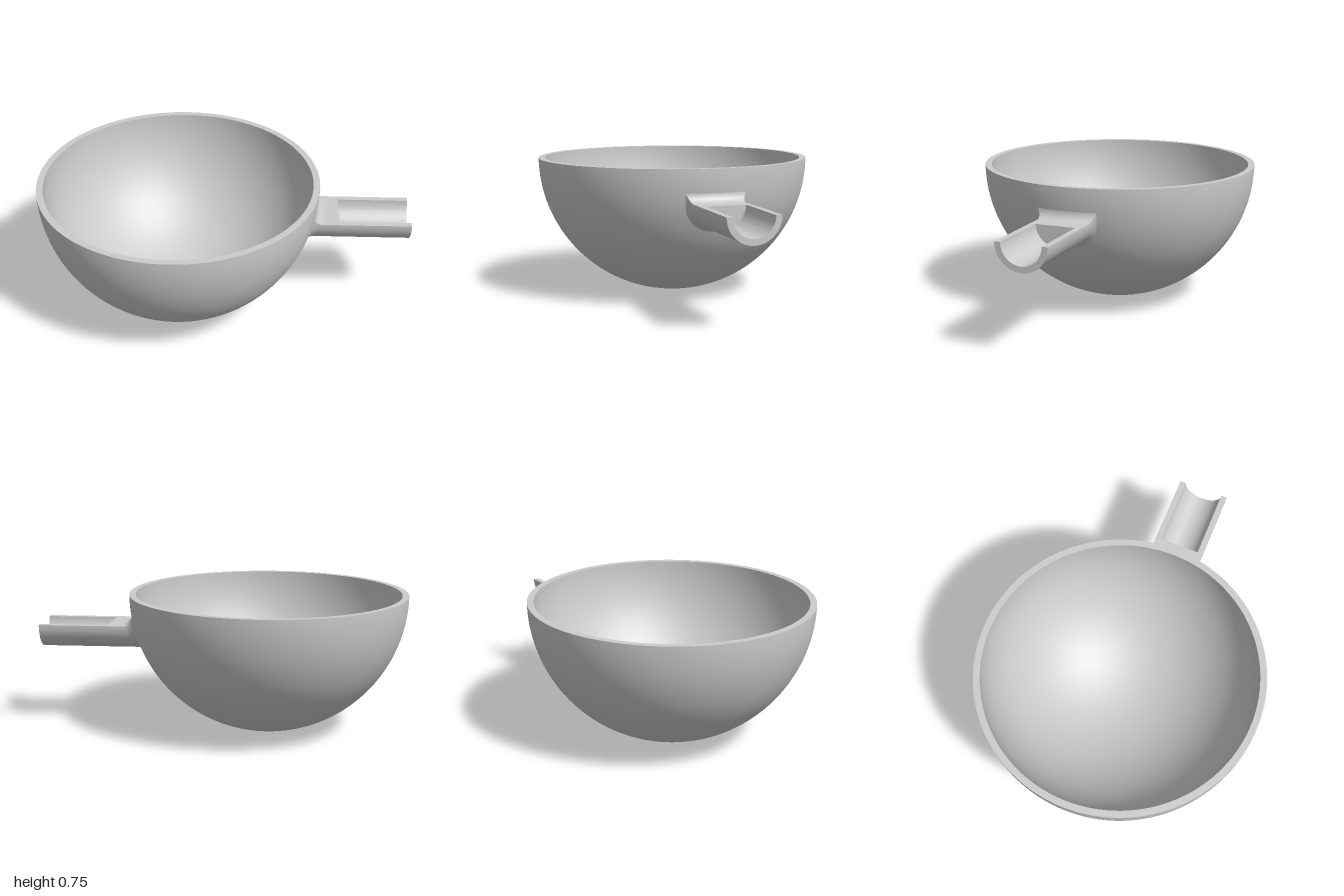
import * as THREE from 'three';
import { toCreasedNormals } from 'three/addons/utils/BufferGeometryUtils.js';
import { ParametricGeometry } from 'three/addons/geometries/ParametricGeometry.js';

const CX = -0.245, R = 0.755, R_IN = 0.72;           // bowl centre, outer and inner radius
const HY = 0.58, HR = 0.14, HR_IN = 0.108;           // handle axis height and radii
const TROUGH = 0.62, END = 1;                        // start and end of the open trough

// x of the bowl's outer surface at a given height and depth
const bowlX = (y, z) => CX + Math.sqrt(R * R - (y - R) ** 2 - z * z);

// Surface running from the bowl through a fillet to the trough.
// edge(u) gives a profile point, its outward flare and the fillet length.
function collar(edge, slices) {
  return new ParametricGeometry((u, v, target) => {
    const { z, y, dz, dy, len } = edge(u);
    const t = Math.min(v / 0.9, 1) * Math.PI / 2;
    const flare = 1 - Math.sin(t);
    const py = y + dy * flare, pz = z + dz * flare;
    let x = bowlX(py, pz) - 0.002 + len * (1 - Math.cos(t));
    if (v > 0.9) x += (TROUGH - x) * (v - 0.9) / 0.1;
    target.set(x, py, pz);
  }, slices, 20);
}

export function createModel() {
  const model = new THREE.Group();
  const grey = new THREE.MeshStandardMaterial({ color: 0xcccccc });
  const add = (parent, name, geometry) => {
    const mesh = new THREE.Mesh(geometry, grey);
    mesh.name = name;
    parent.add(mesh);
    return mesh;
  };

  // Hemispherical bowl: outer wall up, flat rim, inner wall down
  const profile = [];
  const steps = 48;
  for (let i = 0; i <= steps; i++) {
    const a = (i / steps) * Math.PI / 2;
    profile.push(new THREE.Vector2(R * Math.sin(a), R - R * Math.cos(a)));
  }
  for (let i = steps; i >= 0; i--) {
    const a = (i / steps) * Math.PI / 2;
    profile.push(new THREE.Vector2(R_IN * Math.sin(a), R - R_IN * Math.cos(a)));
  }
  const bowl = add(model, 'bowl', toCreasedNormals(new THREE.LatheGeometry(profile, 128), 0.6));
  bowl.position.x = CX;

  const handle = new THREE.Group();
  handle.name = 'handle';
  model.add(handle);

  // Rounded underside of the handle root, flaring into the bowl
  add(handle, 'handleRootUnderside', collar((u) => {
    const c = Math.cos(Math.PI * u), s = Math.sin(Math.PI * u);
    return {
      z: HR * c, y: HY - HR * s,
      dz: 0.03 * c, dy: -0.03 * s + 0.065 * (1 - s) ** 6,
      len: 0.06 - 0.03 * s,
    };
  }, 64));

  // Flat top of the handle root, curving up into the bowl
  add(handle, 'handleRootTop', collar((u) => {
    const k = 2 * u - 1;
    return { z: HR * k, y: HY, dz: 0.03 * k, dy: 0.065, len: 0.06 };
  }, 24));

  // Open half-pipe trough
  const section = new THREE.Shape();
  section.absarc(0, 0, HR, Math.PI, 2 * Math.PI, false);
  section.lineTo(HR_IN, 0);
  section.absarc(0, 0, HR_IN, 2 * Math.PI, Math.PI, true);
  section.closePath();
  const pipe = new THREE.ExtrudeGeometry(section, {
    depth: END - TROUGH, bevelEnabled: false, curveSegments: 32,
  });
  const trough = add(handle, 'trough', toCreasedNormals(pipe, 0.6));
  trough.rotation.y = Math.PI / 2;
  trough.position.set(TROUGH, HY, 0);

  // Half-disc wall closing the inner end of the trough
  const wall = add(handle, 'troughEndWall', new THREE.CircleGeometry(HR_IN, 32, Math.PI, Math.PI));
  wall.rotation.y = Math.PI / 2;
  wall.position.set(TROUGH, HY, 0);

  return model;
}
